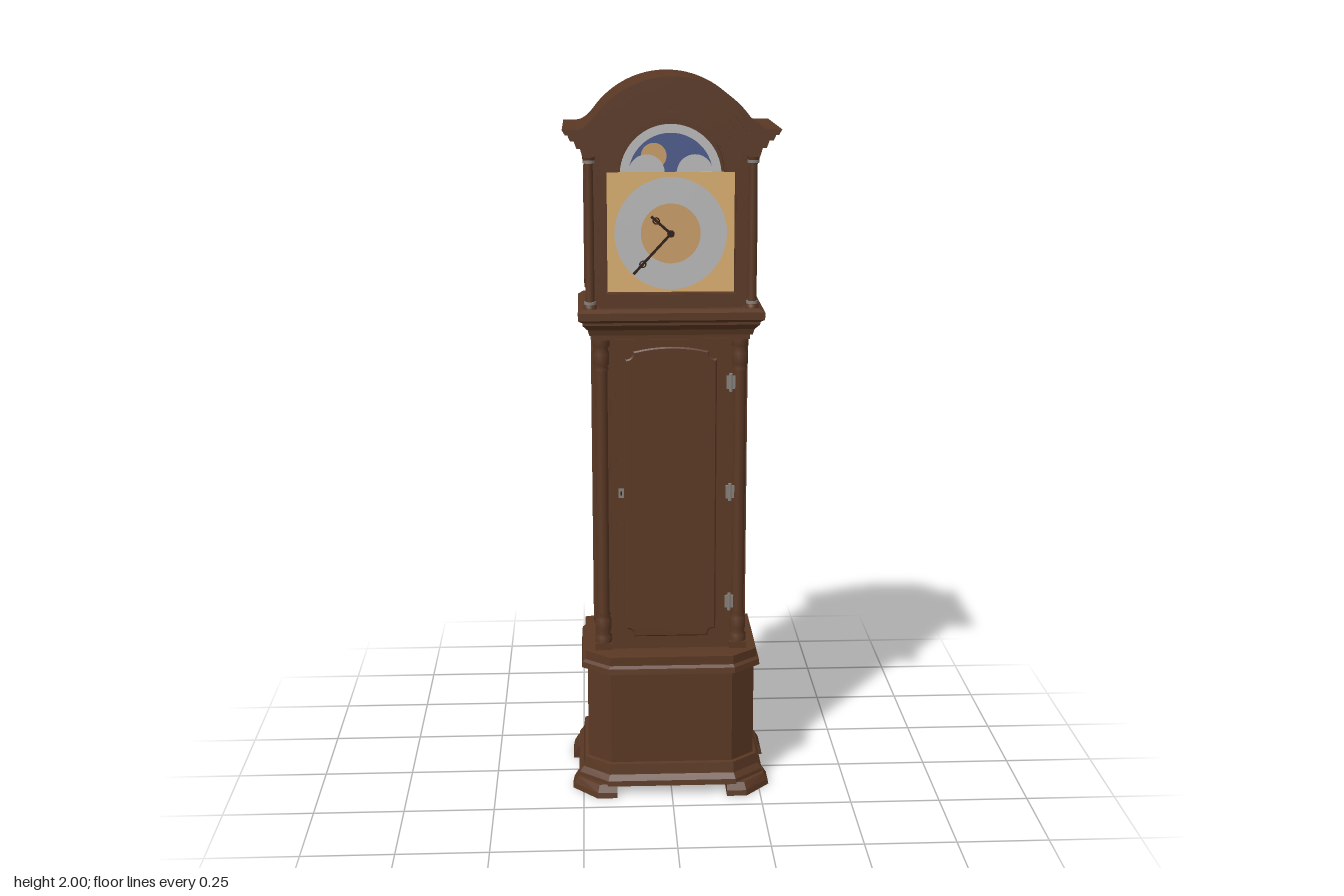
import * as THREE from 'three';
import { mergeGeometries, toCreasedNormals } from 'three/addons/utils/BufferGeometryUtils.js';
import { ConvexGeometry } from 'three/addons/geometries/ConvexGeometry.js';

const material = (name, color) => Object.assign(new THREE.MeshStandardMaterial({ color }), { name });

export function createModel() {
  const clock = new THREE.Group();
  clock.name = 'longcaseClock';
  const wood = material('walnut', 0x5a3824);
  const brass = material('pale brass', 0xd8ae70);
  const tan = material('tan', 0xc89c68);
  const silver = material('silver', 0xb9b9b9);
  const blue = material('night blue', 0x4c5a8c);
  const metal = material('hinge metal', 0x86807a);
  const dark = material('dark hands', 0x2e1c12);

  const add = (name, geometry, mat, x = 0, y = 0, z = 0, ry = 0) => {
    const mesh = new THREE.Mesh(geometry, mat);
    mesh.name = name;
    mesh.position.set(x, y, z);
    mesh.rotation.y = ry;
    clock.add(mesh);
    return mesh;
  };
  const box = (name, w, h, d, x, y, z, mat = wood) => add(name, new THREE.BoxGeometry(w, h, d), mat, x, y, z);
  const slab = (name, shape, z0, z1, mat = wood) => add(name, toCreasedNormals(
    new THREE.ExtrudeGeometry(shape, { depth: z1 - z0, bevelEnabled: false, curveSegments: 40 }), 0.5), mat, 0, 0, z0);

  // Stacked prisms: plan(e) gives the footprint grown by e, rows are [e, y]
  const stack = (name, plan, rows) => {
    const ring = ([e, y]) => plan(e).map(([x, z]) => new THREE.Vector3(x, y, z));
    const parts = rows.slice(1).map((row, i) => new ConvexGeometry([...ring(rows[i]), ...ring(row)]));
    add(name, mergeGeometries(parts), wood);
  };
  const cantedPlan = (hw, zf, zb, cx, cz) => e => [
    [-hw - e, zb], [hw + e, zb], [hw + e, zf - cz + e * 0.4], [hw - cx + e * 0.4, zf + e],
    [-hw + cx - e * 0.4, zf + e], [-hw - e, zf - cz + e * 0.4]];
  const squarePlan = (hw, zf, zb) => e => [[-hw - e, zb], [hw + e, zb], [hw + e, zf + e], [-hw - e, zf + e]];

  // Plinth with canted front corners
  stack('plinth', cantedPlan(0.235, 0.155, -0.175, 0.065, 0.055), [
    [0.028, 0.03], [0.026, 0.045], [0.014, 0.06], [0.01, 0.09], [0, 0.092], [0, 0.36],
    [0.016, 0.362], [0.014, 0.378], [0.006, 0.385], [0.006, 0.41], [-0.015, 0.412]]);

  // Bracket feet
  for (const s of [-1, 1]) {
    stack('frontFoot', e => [[0.155, 0.18 + e], [0.205 + e * 0.4, 0.18 + e], [0.265 + e, 0.12],
      [0.265 + e, 0.075], [0.155, 0.075]].map(([x, z]) => [s * x, z]), [[0.015, 0], [0.012, 0.015], [0, 0.035]]);
    stack('rearFoot', e => [[0.155, -0.08], [0.265 + e, -0.08], [0.265 + e, -0.175],
      [0.155, -0.175]].map(([x, z]) => [s * x, z]), [[0.015, 0], [0.012, 0.015], [0, 0.035]]);
  }

  // Trunk, its front and the moulding above
  box('trunk', 0.424, 0.92, 0.225, 0, 0.865, -0.0525);
  box('trunkFront', 0.33, 0.92, 0.05, 0, 0.865, 0.07);
  box('trunkDoor', 0.30, 0.87, 0.006, 0, 0.865, 0.097);
  for (const s of [-1, 1]) for (const y of [0.42, 1.31])
    box('columnBlock', 0.048, 0.02, 0.046, s * 0.189, y, 0.083);
  stack('waistMoulding', squarePlan(0.22, 0.115, -0.175), [
    [0, 1.315], [0.004, 1.33], [0.018, 1.345], [0.018, 1.352], [0.03, 1.36], [0.03, 1.38], [0.015, 1.388]]);

  // Panels with coved corners
  const panelShape = (w, h, r, arch = 0) => {
    const s = new THREE.Shape();
    const x = w / 2, y = h / 2;
    s.moveTo(-x + r, -y).lineTo(x - r, -y);
    s.absarc(x, -y, r, Math.PI, Math.PI / 2, true);
    s.lineTo(x, y - r - arch);
    s.absarc(x, y - arch, r, Math.PI * 1.5, Math.PI, true);
    s.quadraticCurveTo(0, y + arch, -x + r, y - arch);
    s.absarc(-x, y - arch, r, 0, -Math.PI / 2, true);
    s.lineTo(-x, -y + r);
    s.absarc(-x, -y, r, Math.PI / 2, 0, true);
    return s;
  };
  const panel = (name, w, h, r, arch, x, y, z, ry) => {
    const bevel = 0.004;
    add(name, new THREE.ExtrudeGeometry(panelShape(w - 2 * bevel, h - 2 * bevel, r, arch),
      { depth: 0.001, bevelThickness: 0.004, bevelSize: bevel, bevelSegments: 1, curveSegments: 8 }), wood, x, y, z, ry);
  };
  panel('doorPanel', 0.25, 0.83, 0.022, 0.012, 0, 0.865, 0.1, 0);
  for (const s of [-1, 1]) {
    panel('trunkSidePanel', 0.145, 0.83, 0.025, 0, s * 0.211, 0.865, -0.053, s * Math.PI / 2);
    panel('hoodSidePanel', 0.17, 0.325, 0.025, 0, s * 0.227, 1.59, -0.042, s * Math.PI / 2);
  }

  // Turned corner columns of the trunk
  const turned = points => new THREE.LatheGeometry(points.map(([r, y]) => new THREE.Vector2(r, y)), 20);
  const end = [[0.023, 0.43], [0.023, 0.45], [0.018, 0.455], [0.022, 0.47], [0.022, 0.5], [0.016, 0.505], [0.021, 0.512], [0.017, 0.52]];
  const trunkColumn = [...end, ...end.map(([r, y]) => [r, 1.73 - y]).reverse()];
  const hoodColumn = [[0.018, 1.386], [0.018, 1.395], [0.012, 1.405], [0.0125, 1.6], [0.011, 1.77], [0.016, 1.785], [0.018, 1.8]];
  for (const s of [-1, 1]) {
    add('trunkColumn', turned(trunkColumn), wood, s * 0.189, 0, 0.083);
    add('hoodColumn', turned(hoodColumn), wood, s * 0.217, 0, 0.11);
    for (const y of [1.403, 1.778])
      add('columnRing', new THREE.CylinderGeometry(0.0155, 0.0155, 0.008, 20), metal, s * 0.217, y, 0.11);
  }

  // Arched outline of the bonnet, lowered by d, from +x to -x
  const arched = (d, hw) => {
    const a = Math.atan2(0.15, 0.2), r = 0.25 - d, ey = 1.865 - d;
    const ax = r * Math.cos(a), ay = 1.75 + r * Math.sin(a), cx = ax + 0.75 * (ay - ey);
    const curve = new THREE.QuadraticBezierCurve(
      new THREE.Vector2(Math.min(cx + 0.024, hw - 0.001), ey), new THREE.Vector2(cx, ey), new THREE.Vector2(ax, ay));
    const half = [new THREE.Vector2(hw, ey), ...curve.getPoints(8)];
    for (let i = 1; i <= 16; i++) {
      const t = a + (Math.PI / 2 - a) * i / 16;
      half.push(new THREE.Vector2(r * Math.cos(t), 1.75 + r * Math.sin(t)));
    }
    return [...half, ...half.slice(0, -1).reverse().map(p => new THREE.Vector2(-p.x, p.y))];
  };

  // Hood case and stepped cornice
  slab('hoodCase', new THREE.Shape([...arched(0.03, 0.228), new THREE.Vector2(-0.228, 1.385), new THREE.Vector2(0.228, 1.385)]), -0.162, 0.08);
  const steps = [[0, 0.014, 0.285, 0.172, -0.192], [0.012, 0.03, 0.272, 0.162, -0.18],
    [0.028, 0.05, 0.256, 0.146, -0.175], [0.048, 0.075, 0.24, 0.132, -0.17]];
  for (const [d0, d1, hw, zf, zb] of steps)
    slab('corniceStep', new THREE.Shape([...arched(d0, hw), ...arched(d1, hw - 0.008).reverse()]), zb, zf);

  // Glazed hood door: arched frame with an open middle
  const archWindow = (Type, w, y0, r, cy) => {
    const s = new Type();
    s.moveTo(-w, y0).lineTo(w, y0).lineTo(w, cy).lineTo(r, cy);
    s.absarc(0, cy, r, 0, Math.PI, false);
    s.lineTo(-w, cy);
    s.closePath();
    return s;
  };
  const frame = archWindow(THREE.Shape, 0.193, 1.386, 0.1925, 1.745);
  frame.holes.push(archWindow(THREE.Path, 0.17, 1.428, 0.14, 1.75));
  slab('hoodDoorFrame', frame, 0.078, 0.112);
  const rim = archWindow(THREE.Shape, 0.183, 1.415, 0.158, 1.75);
  rim.holes.push(archWindow(THREE.Path, 0.172, 1.426, 0.145, 1.75));
  slab('hoodDoorBead', rim, 0.11, 0.117);

  // Dial with moon arch
  const disc = (name, r, x, y, z, mat, half = false) =>
    add(name, new THREE.CircleGeometry(r, 48, 0, half ? Math.PI : Math.PI * 2), mat, x, y, z);
  box('dialPlate', 0.34, 0.32, 0.006, 0, 1.588, 0.085, brass);
  disc('moonArch', 0.135, 0, 1.738, 0.082, silver, true);
  disc('nightSky', 0.112, 0, 1.738, 0.0835, blue, true);
  disc('moon', 0.034, -0.045, 1.79, 0.085, tan);
  for (const s of [-1, 1]) disc('moonHump', 0.048, s * 0.064, 1.746, 0.0865, silver, true);
  add('chapterRing', new THREE.RingGeometry(0.08, 0.15, 64), silver, 0, 1.585, 0.0895);
  disc('dialCentre', 0.081, 0, 1.585, 0.089, tan);
  const hand = (name, x, y, z) => {
    const length = Math.hypot(x, y);
    box(name, length, 0.007, 0.002, x / 2, 1.585 + y / 2, z, dark).rotation.z = Math.atan2(y, x);
    const tip = add(name + 'Ring', new THREE.TorusGeometry(0.008, 0.002, 6, 16), dark, x * 0.75, 1.585 + y * 0.75, z);
    tip.scale.z = 0.5;
  };
  hand('minuteHand', -0.1, -0.108, 0.095);
  hand('hourHand', -0.052, 0.046, 0.093);
  disc('handBoss', 0.01, 0, 1.585, 0.0975, dark);

  // Hinges and key plates
  const hinge = (x, y, z) => {
    box('hingePlate', 0.024, 0.036, 0.006, x, y, z, metal);
    add('hingeBarrel', new THREE.CylinderGeometry(0.005, 0.005, 0.05, 10), metal, x, y, z + Math.sign(z) * 0.003);
  };
  for (const y of [0.55, 0.87, 1.18]) hinge(0.163, y, 0.1);
  for (const y of [1.49, 1.69]) hinge(-0.19, y, -0.163);
  box('doorKeyPlate', 0.014, 0.026, 0.004, -0.137, 0.87, 0.101, metal);
  box('doorKeyhole', 0.004, 0.012, 0.002, -0.137, 0.87, 0.1035, dark);
  box('backKeyPlate', 0.012, 0.026, 0.004, 0.165, 1.6, -0.163, metal);

  return clock;
}
